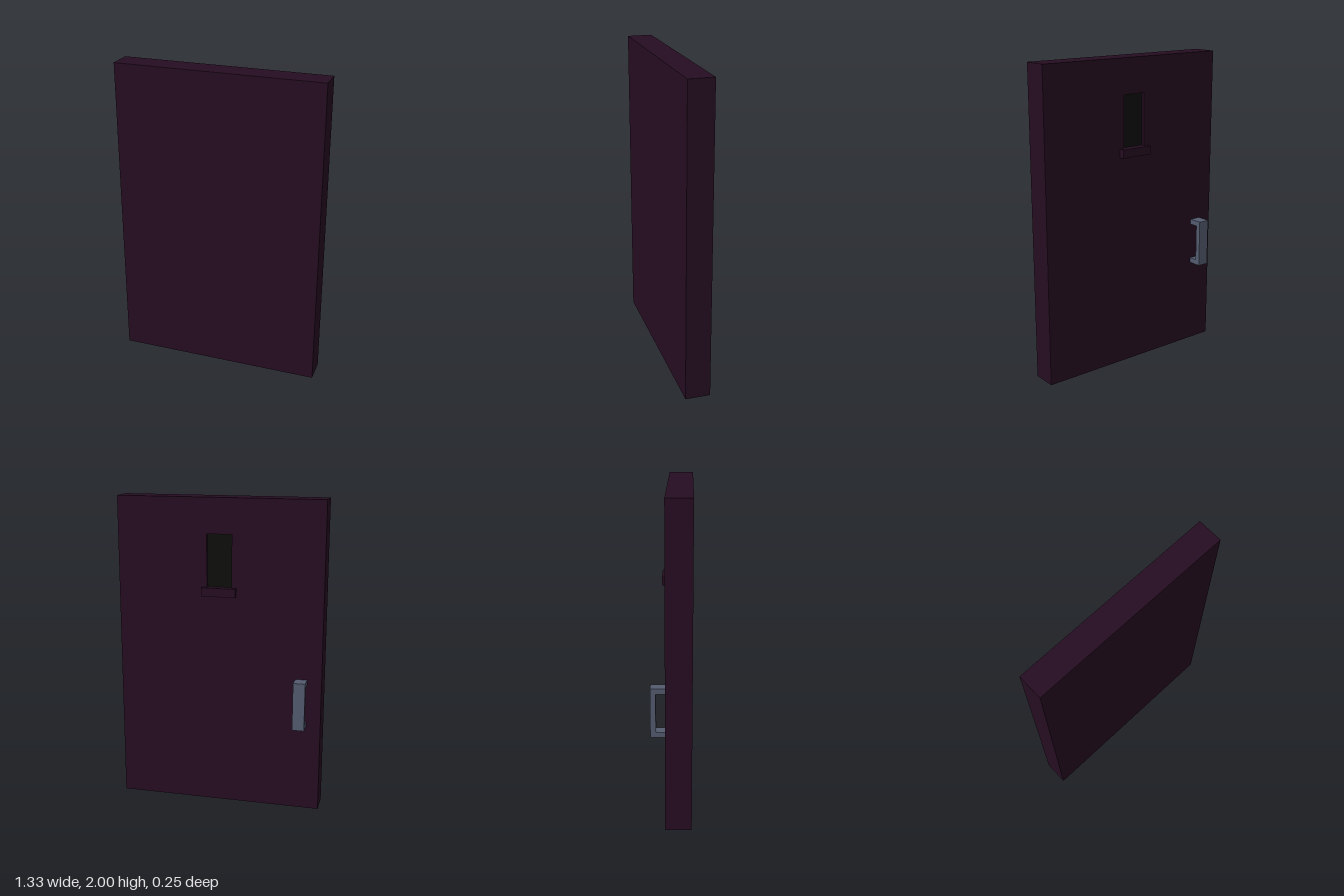
import * as THREE from 'three';

export function createModel() {
  const group = new THREE.Group();
  const doorPaint = new THREE.MeshStandardMaterial({ name: 'dark plum', color: 0x260d22 });
  const glass = new THREE.MeshStandardMaterial({ name: 'black glass', color: 0x0e0f0d });
  const metal = new THREE.MeshStandardMaterial({ name: 'blue grey metal', color: 0x535b6f });

  const W = 0.663, BACK = -0.035, FRONT = 0.125; // half width, door faces in z
  const RECESS = 0.025;                          // depth of the window opening

  // Box given by its limits on each axis
  function box(name, material, [x0, x1], [y0, y1], [z0, z1]) {
    const mesh = new THREE.Mesh(new THREE.BoxGeometry(x1 - x0, y1 - y0, z1 - z0), material);
    mesh.position.set((x0 + x1) / 2, (y0 + y1) / 2, (z0 + z1) / 2);
    mesh.name = name;
    group.add(mesh);
  }

  function rect(path, x0, y0, x1, y1) {
    path.moveTo(x0, y0).lineTo(x1, y0).lineTo(x1, y1).lineTo(x0, y1).closePath();
    return path;
  }

  // Solid door slab
  box('doorSlab', doorPaint, [-W, W], [0, 2], [BACK + RECESS, FRONT]);

  // Back skin with the window opening cut through it
  const skin = rect(new THREE.Shape(), -W, 0, W, 2);
  skin.holes.push(rect(new THREE.Path(), -0.08, 1.44, 0.08, 1.775));
  const backSkin = new THREE.Mesh(
    new THREE.ExtrudeGeometry(skin, { depth: RECESS, bevelEnabled: false }), doorPaint);
  backSkin.position.z = BACK;
  backSkin.name = 'backSkin';
  group.add(backSkin);

  // Window pane at the bottom of the recess, and the ledge below it
  box('windowPane', glass, [-0.08, 0.08], [1.44, 1.775], [BACK + RECESS - 0.004, BACK + RECESS]);
  box('windowLedge', doorPaint, [-0.11, 0.11], [1.385, 1.44], [-0.067, BACK]);

  // Square pull handle: a C profile in z and y, extruded across x
  const profile = new THREE.Shape();
  [[0, 0], [0.09, 0], [0.09, 0.31], [0, 0.31], [0, 0.275], [0.057, 0.275], [0.057, 0.033], [0, 0.033]]
    .forEach(([d, y], i) => (i ? profile.lineTo(d, y) : profile.moveTo(d, y)));
  const handle = new THREE.Mesh(
    new THREE.ExtrudeGeometry(profile, { depth: 0.076, bevelEnabled: false }), metal);
  handle.rotation.y = Math.PI / 2;
  handle.position.set(-0.572, 0.565, BACK);
  handle.name = 'pullHandle';
  group.add(handle);

  return group;
}
